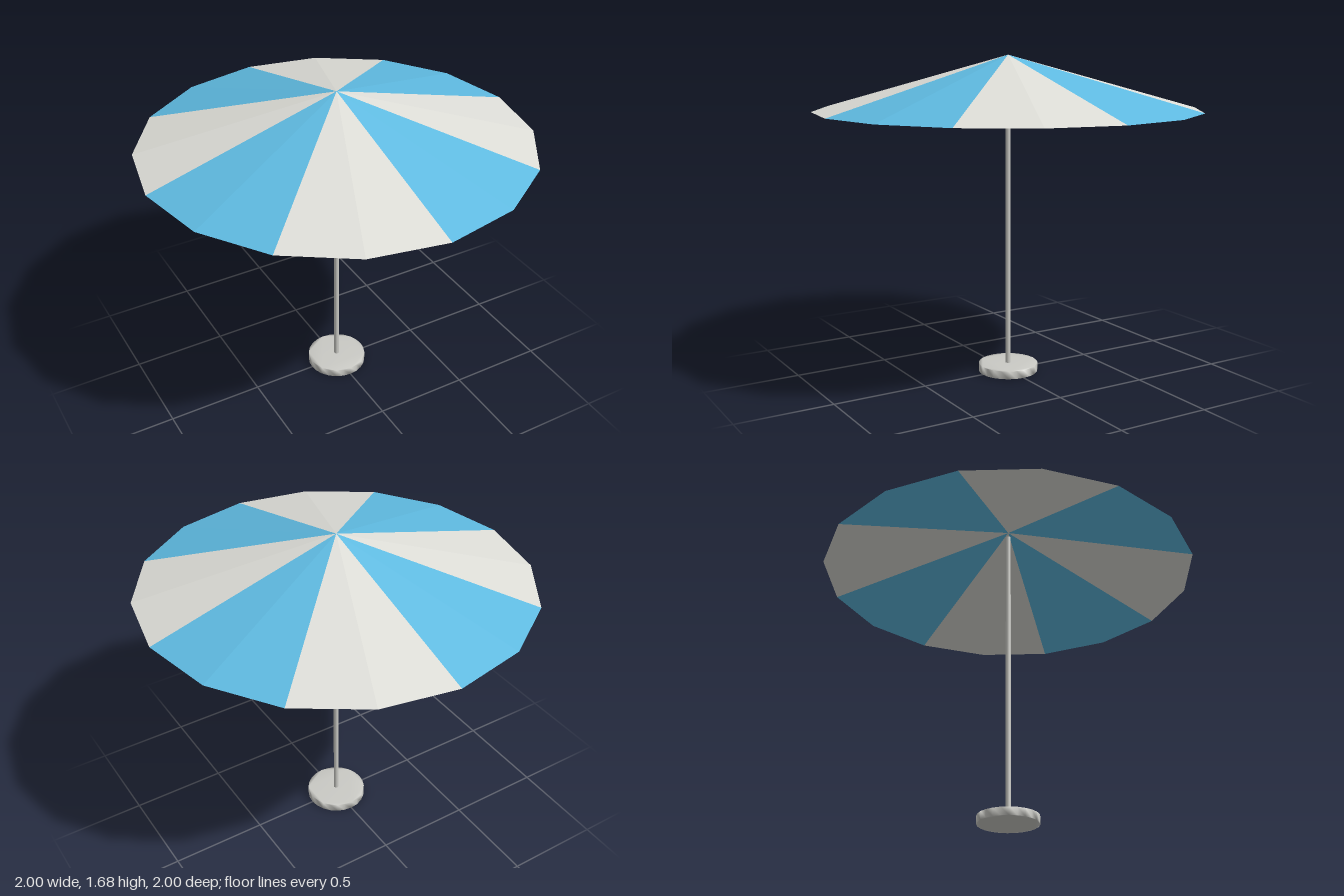
import * as THREE from 'three';
import { mergeVertices } from 'three/addons/utils/BufferGeometryUtils.js';

const RIM_Y = 1.4, APEX_Y = 1.68, GORES = 8;

// Welds all corners so the normals run smoothly over the edges
function weld(geometry) {
  geometry.deleteAttribute('normal');
  geometry.deleteAttribute('uv');
  const welded = mergeVertices(geometry, 1e-4);
  welded.computeVertexNormals();
  return welded;
}

export function createModel() {
  const blue = new THREE.MeshStandardMaterial({ color: 0x5fbbe2, side: THREE.DoubleSide });
  blue.name = 'blue cloth';
  const white = new THREE.MeshStandardMaterial({ color: 0xdedeD8, side: THREE.DoubleSide });
  white.name = 'white cloth';
  const metal = new THREE.MeshStandardMaterial({ color: 0xcacac5 });
  metal.name = 'grey metal';

  const model = new THREE.Group();
  model.name = 'parasol';
  const add = (parent, name, geometry, material) => {
    const mesh = new THREE.Mesh(geometry, material);
    mesh.name = name;
    parent.add(mesh);
    return mesh;
  };

  // Canopy: open cone of striped gores, each with two flat facets
  const canopy = new THREE.Group();
  canopy.name = 'canopy';
  model.add(canopy);
  const step = (Math.PI * 2) / GORES;
  for (let i = 0; i < GORES; i++) {
    const gore = new THREE.ConeGeometry(1, APEX_Y - RIM_Y, 2, 1, true, i * step, step).toNonIndexed();
    gore.computeVertexNormals();
    gore.translate(0, (APEX_Y + RIM_Y) / 2, 0);
    add(canopy, `canopyGore${i + 1}`, gore, i % 2 ? white : blue);
  }

  // Pole: from the base to just under the apex
  const pole = new THREE.CylinderGeometry(0.0135, 0.0135, 1.63, 12);
  add(model, 'pole', pole, metal).position.y = 0.835;

  // Base: low disc with softened shading
  const outline = new THREE.Shape();
  outline.absarc(0, 0, 0.158, 0, Math.PI * 2);
  const disc = new THREE.ExtrudeGeometry(outline, { depth: 0.042, bevelEnabled: false, curveSegments: 12 });
  disc.rotateX(-Math.PI / 2);
  add(model, 'base', weld(disc), metal);

  return model;
}
